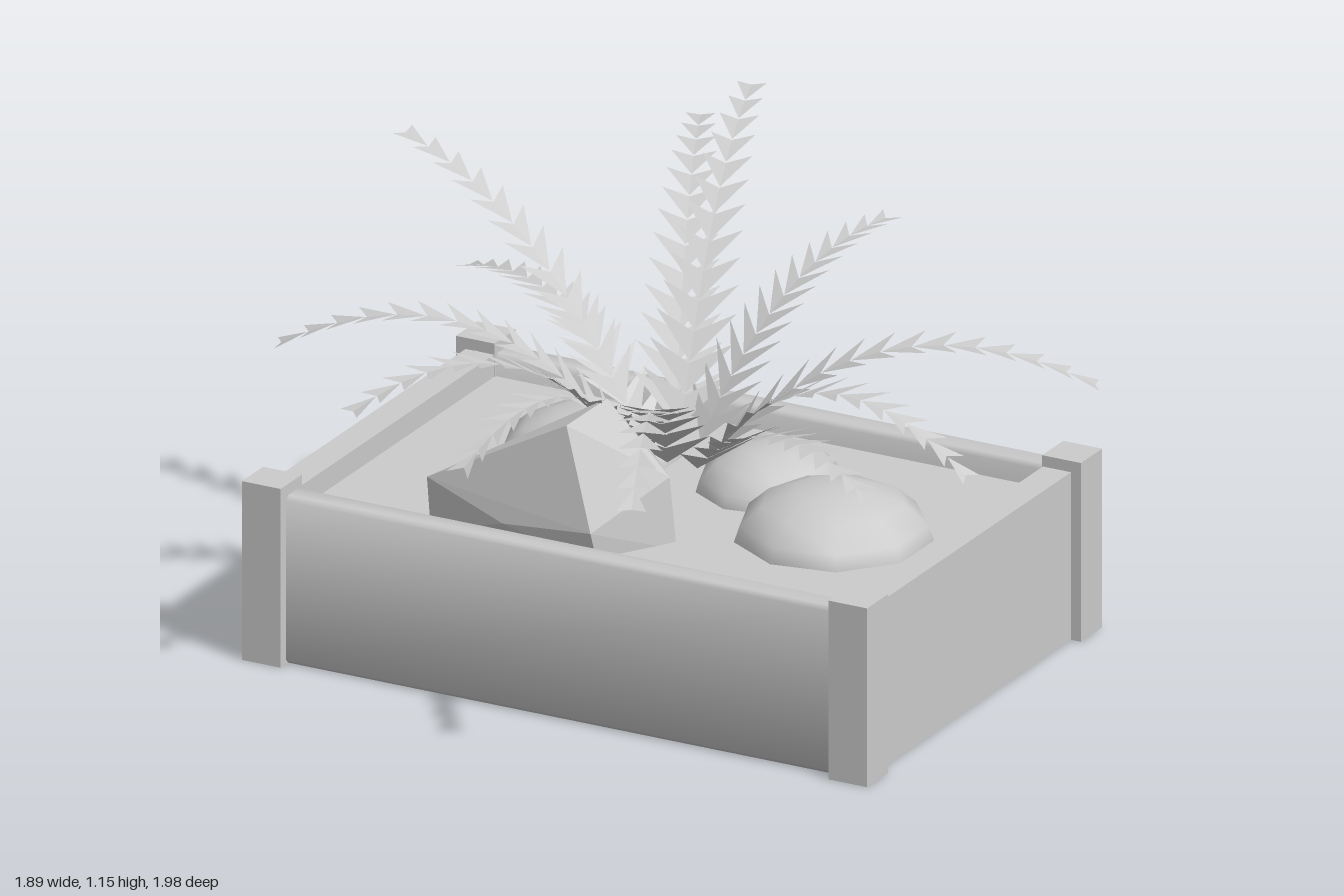
import * as THREE from 'three';
import { toCreasedNormals } from 'three/addons/utils/BufferGeometryUtils.js';
import { ConvexGeometry } from 'three/addons/geometries/ConvexGeometry.js';

const smooth = new THREE.MeshStandardMaterial({ color: 0xcccccc });
const flat = new THREE.MeshStandardMaterial({ color: 0xcccccc, flatShading: true });
const thin = new THREE.MeshStandardMaterial({ color: 0xcccccc, flatShading: true, side: THREE.DoubleSide });

const SOIL = 0.39;

function add(group, name, geometry, material, x = 0, y = 0, z = 0) {
  const mesh = new THREE.Mesh(geometry, material);
  mesh.name = name;
  mesh.position.set(x, y, z);
  group.add(mesh);
  return mesh;
}

// Long plank: chamfered section extruded along x, shaded softly over its edges
function plankGeometry(length, height, depth, c) {
  const w = depth / 2, h = height / 2;
  const section = new THREE.Shape([
    [-w + c, -h], [w - c, -h], [w, -h + c], [w, h - c],
    [w - c, h], [-w + c, h], [-w, h - c], [-w, -h + c],
  ].map(([x, y]) => new THREE.Vector2(x, y)));
  const g = new THREE.ExtrudeGeometry(section, { depth: length, bevelEnabled: false });
  g.translate(0, 0, -length / 2).rotateY(Math.PI / 2);
  return toCreasedNormals(g, 1);
}

// Frond: an arching midrib carrying chevrons of pointed leaflets that lean to the tip
function frondGeometry([x, y, z, rise]) {
  const tip = new THREE.Vector3(x, y, z);
  const out = new THREE.Vector3(x, 0, z).normalize();
  const base = out.clone().multiplyScalar(0.05).setY(0.44);
  const curve = new THREE.QuadraticBezierCurve3(
    base, new THREE.Vector3(x * 0.45, rise, z * 0.45), tip);
  const side = new THREE.Vector3(-out.z, 0, out.x);
  const pairs = 13;
  const points = [];
  for (let i = 0; i < pairs; i++) {
    const t = 0.1 + 0.82 * i / (pairs - 1);
    const root = curve.getPointAt(t);
    const notch = curve.getPointAt(Math.min(t + 0.065, 1));
    const along = curve.getTangentAt(t);
    const width = 0.125 - 0.095 * t;
    const reach = 0.15 - 0.07 * t;
    for (const s of [-1, 1]) {
      const end = root.clone().addScaledVector(along, reach).addScaledVector(side, s * width);
      // keep each blade's upper face outward
      points.push(root, ...(s > 0 ? [notch, end] : [end, notch]));
    }
  }
  return new THREE.BufferGeometry().setFromPoints(points);
}

export function createModel() {
  const model = new THREE.Group();
  model.name = 'planter';

  // Wooden box, open underneath
  const box = new THREE.Group();
  box.name = 'planterBox';
  model.add(box);
  const plank = plankGeometry(1.58, 0.45, 0.075, 0.012);
  const endBoard = new THREE.BoxGeometry(0.08, 0.45, 1.04);
  const post = new THREE.BoxGeometry(0.11, 0.48, 0.11);
  for (const s of [-1, 1]) {
    add(box, s > 0 ? 'frontBoard' : 'backBoard', plank, smooth, 0, 0.225, s * 0.545);
    add(box, s > 0 ? 'leftBoard' : 'rightBoard', endBoard, flat, s * 0.82, 0.225, 0);
    for (const e of [-1, 1]) add(box, 'cornerPost', post, flat, s * 0.833, 0.24, e * 0.555);
  }

  // Soil sheet
  const soil = new THREE.PlaneGeometry(1.58, 1.04).rotateX(-Math.PI / 2);
  add(model, 'soil', soil, thin, 0, SOIL, 0);

  // Low rounded stones: [x, z, radius, height]
  for (const [x, z, r, h] of [
    [0.47, 0.02, 0.26, 0.155], [-0.33, -0.18, 0.24, 0.135], [0.18, -0.19, 0.2, 0.135],
  ]) {
    const dome = new THREE.SphereGeometry(1, 9, 4, 0, Math.PI * 2, 0, Math.PI / 2);
    add(model, 'roundStone', dome, smooth, x, SOIL - 0.02, z).scale.set(r, h, r);
  }

  // Large angular rock
  const corners = [
    [-0.45, 0.37, 0.43], [-0.45, 0.52, 0.45], [-0.23, 0.44, 0.46], [-0.2, 0.37, 0.44],
    [0.03, 0.37, 0.44], [0.02, 0.46, 0.46], [-0.07, 0.72, 0.42], [-0.02, 0.76, 0.3],
    [0.13, 0.56, 0.25], [0.15, 0.37, 0.25], [0.05, 0.55, 0.15], [0.03, 0.37, 0.12],
    [-0.3, 0.5, 0.2], [-0.36, 0.37, 0.18],
  ].map((p) => new THREE.Vector3(...p));
  add(model, 'angularRock', new ConvexGeometry(corners), flat);

  // Fern: tip of each frond and the height its arch is pulled to
  const fern = new THREE.Group();
  fern.name = 'fern';
  model.add(fern);
  for (const tip of [
    [-0.46, 0.99, -0.99, 1.05], [-0.29, 1.12, -0.95, 1.08], [0.24, 0.95, -0.69, 0.95],
    [0.93, 0.68, -0.53, 1.0], [0.89, 0.64, 0.08, 1.0], [0.82, 0.69, 0.46, 0.86],
    [0.42, 0.77, 0.98, 1.06], [-0.2, 0.68, 0.73, 0.98], [-0.46, 0.82, 0.84, 1.06],
    [-0.93, 0.75, 0.36, 1.05], [-0.87, 1.15, -0.18, 1.06], [-0.83, 0.7, -0.45, 0.9],
  ]) {
    const g = frondGeometry(tip);
    g.computeVertexNormals();
    add(fern, 'frond', g, thin);
  }
  return model;
}
